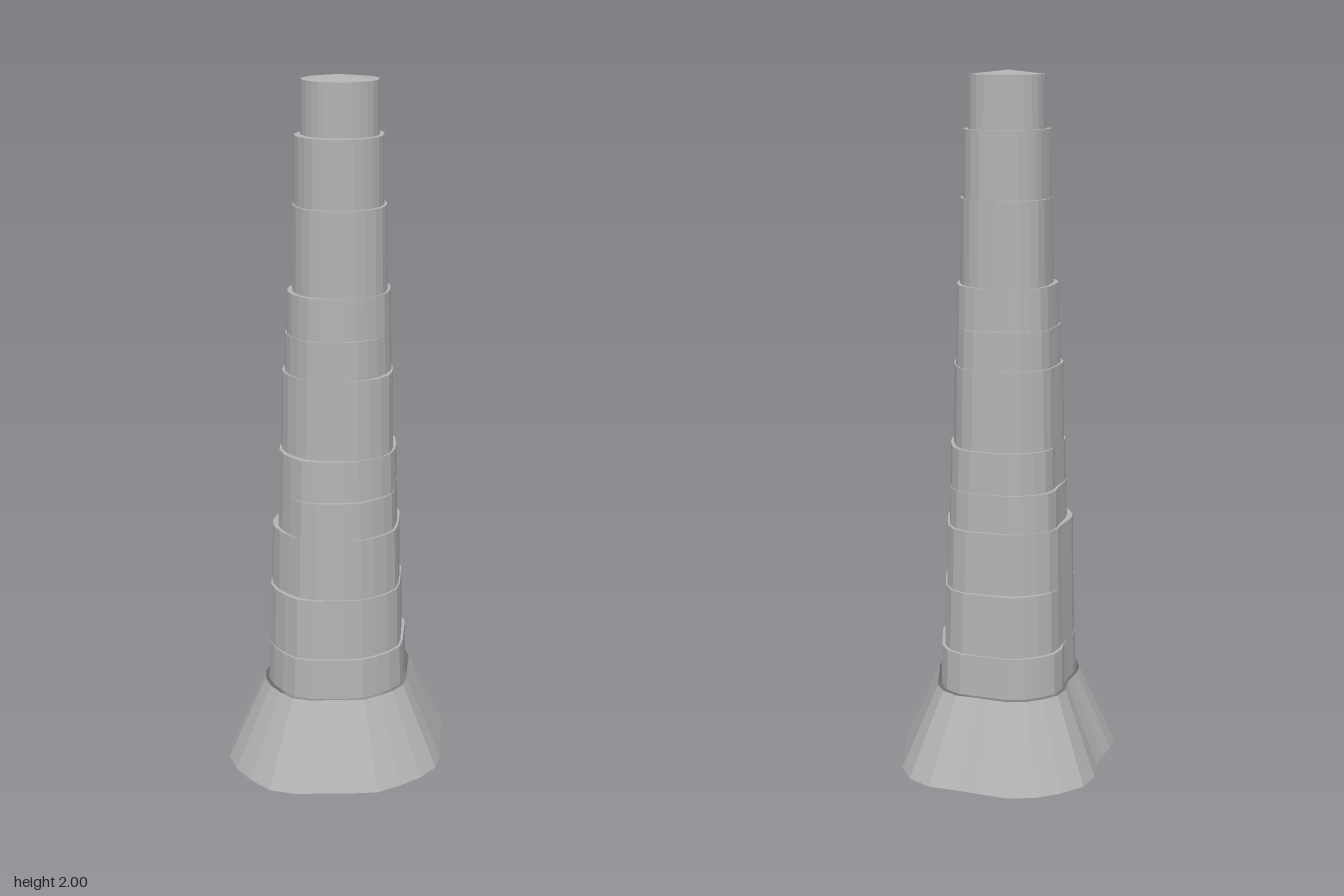
import * as THREE from 'three';

// Irregular plan outline of the foot: radii at equal angles, from the back (-z) round by -x
const OUTLINE = [
  0.353, 0.357, 0.353, 0.349, 0.322, 0.289, 0.286, 0.305, 0.327, 0.344, 0.354, 0.361, 0.372, 0.357,
  0.334, 0.335, 0.345, 0.339, 0.340, 0.340, 0.323, 0.312, 0.318, 0.343, 0.361, 0.358, 0.336, 0.336,
];
const N = OUTLINE.length;
const angle = (i) => (i / N) * Math.PI * 2;

// Blend of four directional radii [-x, +x, -z, +z] at an angle
function directional(d, a) {
  const s = Math.sin(a), c = Math.cos(a);
  return (s > 0 ? d[0] : d[1]) * s * s + (c > 0 ? d[2] : d[3]) * c * c;
}

function ring(y, radius) {
  return OUTLINE.map((_, i) => {
    const r = radius(i), a = angle(i);
    return [-r * Math.sin(a), y, -r * Math.cos(a)];
  });
}

// Wall between two rings, with optional fans to a centre point above and below
function shell(low, high, topY, bottomY) {
  const pos = [];
  const tri = (a, b, c) => pos.push(...a, ...b, ...c);
  for (let i = 0; i < N; i++) {
    const j = (i + 1) % N;
    tri(low[i], low[j], high[j]);
    tri(low[i], high[j], high[i]);
    if (topY !== undefined) tri(high[i], high[j], [0, topY, 0]);
    if (bottomY !== undefined) tri(low[j], low[i], [0, bottomY, 0]);
  }
  const g = new THREE.BufferGeometry();
  g.setAttribute('position', new THREE.Float32BufferAttribute(pos, 3));
  g.computeVertexNormals();
  return g;
}

// Tower tiers: top height and the radii towards -x, +x, -z, +z
const TIERS = [
  [0.36, [0.195, 0.196, 0.216, 0.217]],
  [0.54, [0.190, 0.187, 0.200, 0.203]],
  [0.72, [0.183, 0.178, 0.188, 0.193]],
  [0.83, [0.171, 0.171, 0.177, 0.186]],
  [0.95, [0.163, 0.165, 0.168, 0.178]],
  [1.18, [0.155, 0.156, 0.156, 0.163]],
  [1.29, [0.149, 0.148, 0.148, 0.156]],
  [1.41, [0.141, 0.144, 0.141, 0.150]],
  [1.65, [0.126, 0.135, 0.132, 0.140]],
  [1.84, [0.119, 0.128, 0.121, 0.130]],
  [1.988, [0.102, 0.111, 0.103, 0.102]],
];
const FOOT_DIRS = [0.314, 0.313, 0.353, 0.345];
const BASE_Y = 0.24;

export function createModel() {
  const model = new THREE.Group();
  model.name = 'steppedTower';
  const stone = new THREE.MeshStandardMaterial({ color: 0xb3b3b3, flatShading: true, side: THREE.DoubleSide });
  stone.name = 'greyStone';
  const add = (name, geometry) => {
    const mesh = new THREE.Mesh(geometry, stone);
    mesh.name = name;
    model.add(mesh);
  };

  // Open flared skirt around the foot
  add('flaredSkirt', shell(
    ring(0, (i) => OUTLINE[i]),
    ring(BASE_Y, (i) => OUTLINE[i] * 0.665),
  ));

  // Shrinking tiers, rounder towards the top, each slightly out of step with the next
  TIERS.forEach(([top, dirs], k) => {
    const last = k === TIERS.length - 1;
    const roundness = 0.75 * (top / 2) ** 1.5;
    const radius = (i) => {
      const a = angle(i);
      const shape = OUTLINE[i] / directional(FOOT_DIRS, a);
      const wobble = k ? 0.014 * Math.sin(2 * a + k * 2.4) + 0.012 * Math.sin(3 * a + k * 1.7) : 0;
      return directional(dirs, a) * (THREE.MathUtils.lerp(shape, 1, roundness) + wobble);
    };
    const bottom = k < 2 ? BASE_Y : TIERS[k - 2][0];
    add('tier' + (k + 1), shell(
      ring(bottom, (i) => radius(i) * (k ? 1.03 : 1.015)),
      ring(top, radius),
      last ? 2 : top,
      k === 0 ? BASE_Y : undefined,
    ));
  });
  return model;
}
